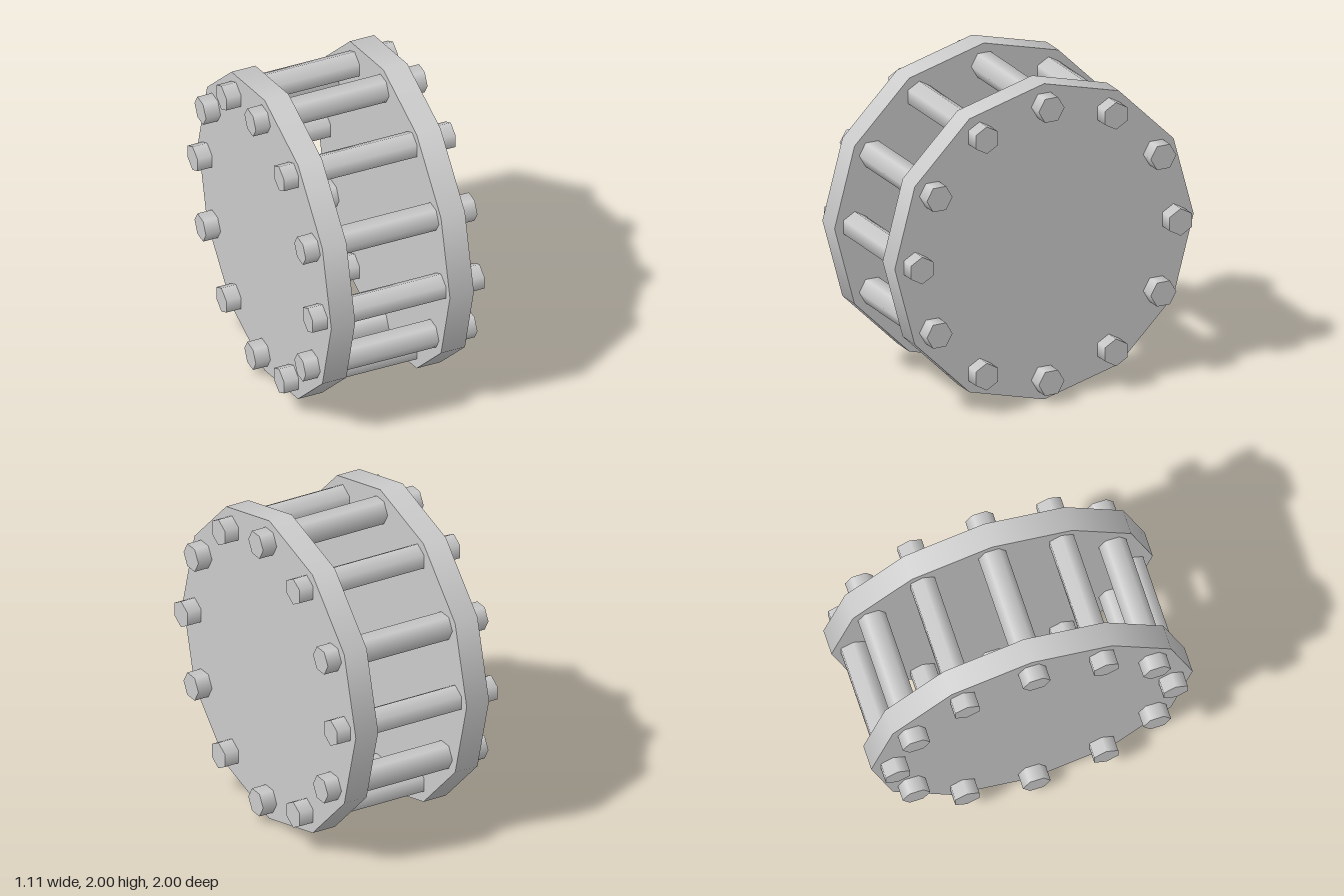
import * as THREE from 'three';

export function createModel() {
  const model = new THREE.Group();
  const material = new THREE.MeshStandardMaterial({ color: 0xcccccc });
  const sides = 12;

  // wheel assembly, centred on its axle along x
  const wheel = new THREE.Group();
  wheel.name = 'wheel';
  wheel.position.y = 1;
  model.add(wheel);

  // two twelve-sided end plates
  const plateGeometry = new THREE.CylinderGeometry(1, 1, 0.154, sides).rotateZ(Math.PI / 2);
  for (const side of [1, -1]) {
    const plate = new THREE.Mesh(plateGeometry, material);
    plate.name = side > 0 ? 'leftPlate' : 'rightPlate';
    plate.position.x = side * 0.382;
    wheel.add(plate);
  }

  // ring of hexagonal rods running through both plates, flats facing outward
  const rodGeometry = new THREE.CylinderGeometry(0.086, 0.086, 1.106, 6, 1, false, Math.PI / 6)
    .rotateZ(Math.PI / 2)
    .translate(0, 0, 0.865);
  for (let i = 0; i < sides; i++) {
    const rod = new THREE.Mesh(rodGeometry, material);
    rod.name = `rod${i + 1}`;
    rod.rotation.x = (i / sides) * Math.PI * 2;
    wheel.add(rod);
  }

  return model;
}
